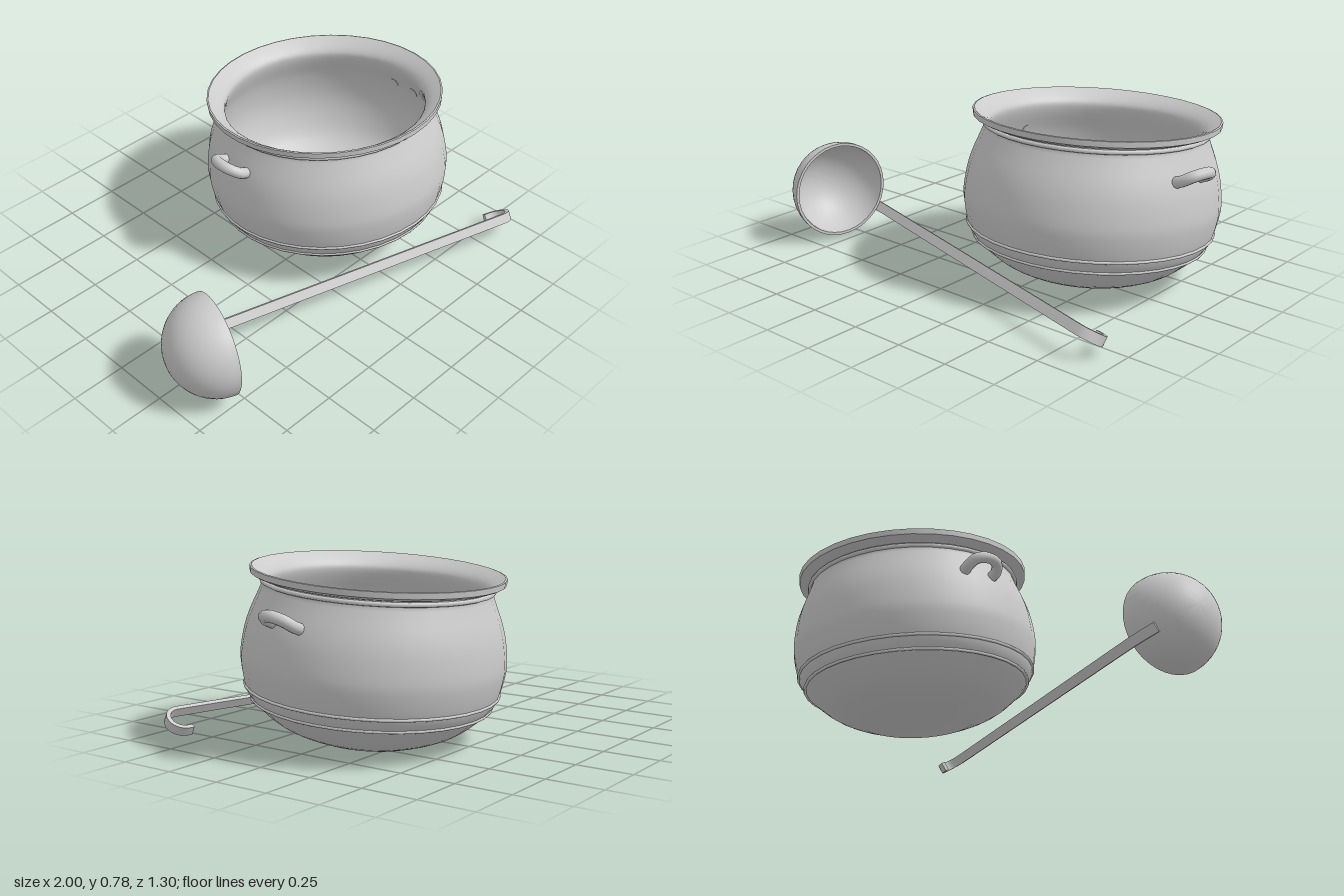
import * as THREE from 'three';
import { toCreasedNormals } from 'three/addons/utils/BufferGeometryUtils.js';

const material = new THREE.MeshStandardMaterial({ color: 0xcccccc });

function part(name, geometry) {
  const mesh = new THREE.Mesh(geometry, material);
  mesh.name = name;
  return mesh;
}

const v2 = ([x, y]) => new THREE.Vector2(x, y);
const smooth = (pts, n) => new THREE.SplineCurve(pts.map(v2)).getPoints(n);
const turned = (points, segments) =>
  toCreasedNormals(new THREE.LatheGeometry(points, segments), 0.55);

function createPot() {
  const pot = new THREE.Group();
  pot.name = 'pot';

  // Round belly, neck, flared rim and hollow inside in one turned profile
  const outside = smooth([[0.268, 0], [0.36, 0.036], [0.43, 0.078], [0.513, 0.155], [0.545, 0.215],
    [0.565, 0.31], [0.566, 0.37], [0.553, 0.46], [0.533, 0.53], [0.505, 0.6], [0.488, 0.645]], 26);
  const rim = [[0.49, 0.672], [0.515, 0.678], [0.54, 0.69], [0.542, 0.715], [0.535, 0.717]].map(v2);
  const inside = smooth([[0.535, 0.717], [0.495, 0.69], [0.47, 0.665], [0.464, 0.64], [0.48, 0.59],
    [0.515, 0.51], [0.538, 0.4], [0.535, 0.31], [0.51, 0.22], [0.47, 0.15], [0.39, 0.085], [0.3, 0.04]], 26);
  const profile = [v2([0, 0]), ...outside, ...rim, ...inside.slice(1), v2([0, 0.035])];
  pot.add(part('potBody', turned(profile, 36)));

  // Raised bands around the belly and neck
  [['lowerBand', 0.516, 0.157, 0.007], ['upperBand', 0.545, 0.213, 0.007], ['neckBand', 0.491, 0.659, 0.01]]
    .forEach(([name, radius, height, thickness]) => {
      const band = part(name, new THREE.TorusGeometry(radius, thickness, 8, 36));
      band.rotation.x = Math.PI / 2;
      band.position.y = height;
      pot.add(band);
    });

  // A looped handle on each side
  const loop = [[0.5, 0.525, -0.07], [0.55, 0.543, -0.076], [0.59, 0.568, -0.055], [0.605, 0.578, 0],
    [0.59, 0.568, 0.055], [0.55, 0.543, 0.076], [0.5, 0.525, 0.07]];
  const curve = new THREE.CatmullRomCurve3(loop.map((p) => new THREE.Vector3(...p)));
  const handleGeometry = new THREE.TubeGeometry(curve, 24, 0.025, 10);
  [['leftHandle', 0], ['rightHandle', Math.PI]].forEach(([name, turn]) => {
    const handle = part(name, handleGeometry);
    handle.rotation.y = turn - 0.11;
    pot.add(handle);
  });

  // The pot rests slightly tipped back
  pot.rotation.x = -0.075;
  pot.position.set(0.367, 0.024, -0.065);
  return pot;
}

// Flat bar of given width following a path in the XY plane
function barAlong(path, thickness, width) {
  const side = (sign) => path.map((p, i) => {
    const a = path[Math.max(i - 1, 0)];
    const b = path[Math.min(i + 1, path.length - 1)];
    const d = b.clone().sub(a).normalize();
    return new THREE.Vector2(p.x - d.y * sign * thickness / 2, p.y + d.x * sign * thickness / 2);
  });
  const shape = new THREE.Shape([...side(-1), ...side(1).reverse()]);
  const geometry = new THREE.ExtrudeGeometry(shape, { depth: width, bevelEnabled: false });
  geometry.translate(0, 0, -width / 2);
  return toCreasedNormals(geometry, 0.5);
}

function createLadle() {
  const ladle = new THREE.Group();
  ladle.name = 'ladle';

  // Hollow half-sphere bowl opening along +x
  const arc = (r) => Array.from({ length: 15 }, (_, i) => {
    const t = (i / 14) * Math.PI / 2;
    return new THREE.Vector2(r * Math.sin(t), -r * Math.cos(t));
  });
  const bowl = turned([...arc(0.227), ...arc(0.214).reverse()], 36);
  bowl.rotateZ(-Math.PI / 2);
  ladle.add(part('ladleBowl', bowl));

  // Long flat handle, bent over the bowl at one end and hooked at the other
  const path = [[-0.14, 0.185], [-0.1, 0.211], [-0.06, 0.226], [-0.02, 0.234], [0.04, 0.237]].map(v2);
  for (let i = 0; i <= 10; i++) {
    const t = -Math.PI / 2 + (i / 10) * Math.PI;
    path.push(new THREE.Vector2(1.63 + 0.06 * Math.cos(t), 0.307 + 0.06 * Math.sin(t)));
  }
  path.push(new THREE.Vector2(1.605, 0.366));
  ladle.add(part('ladleHandle', barAlong(path, 0.019, 0.045)));

  // The ladle lies on its side in front of the pot
  ladle.rotation.set(-2.128, -0.283, 0, 'YXZ');
  ladle.position.set(-0.775, 0.25, 0.368);
  return ladle;
}

export function createModel() {
  const model = new THREE.Group();
  model.name = 'potAndLadle';
  model.add(createPot(), createLadle());
  return model;
}
